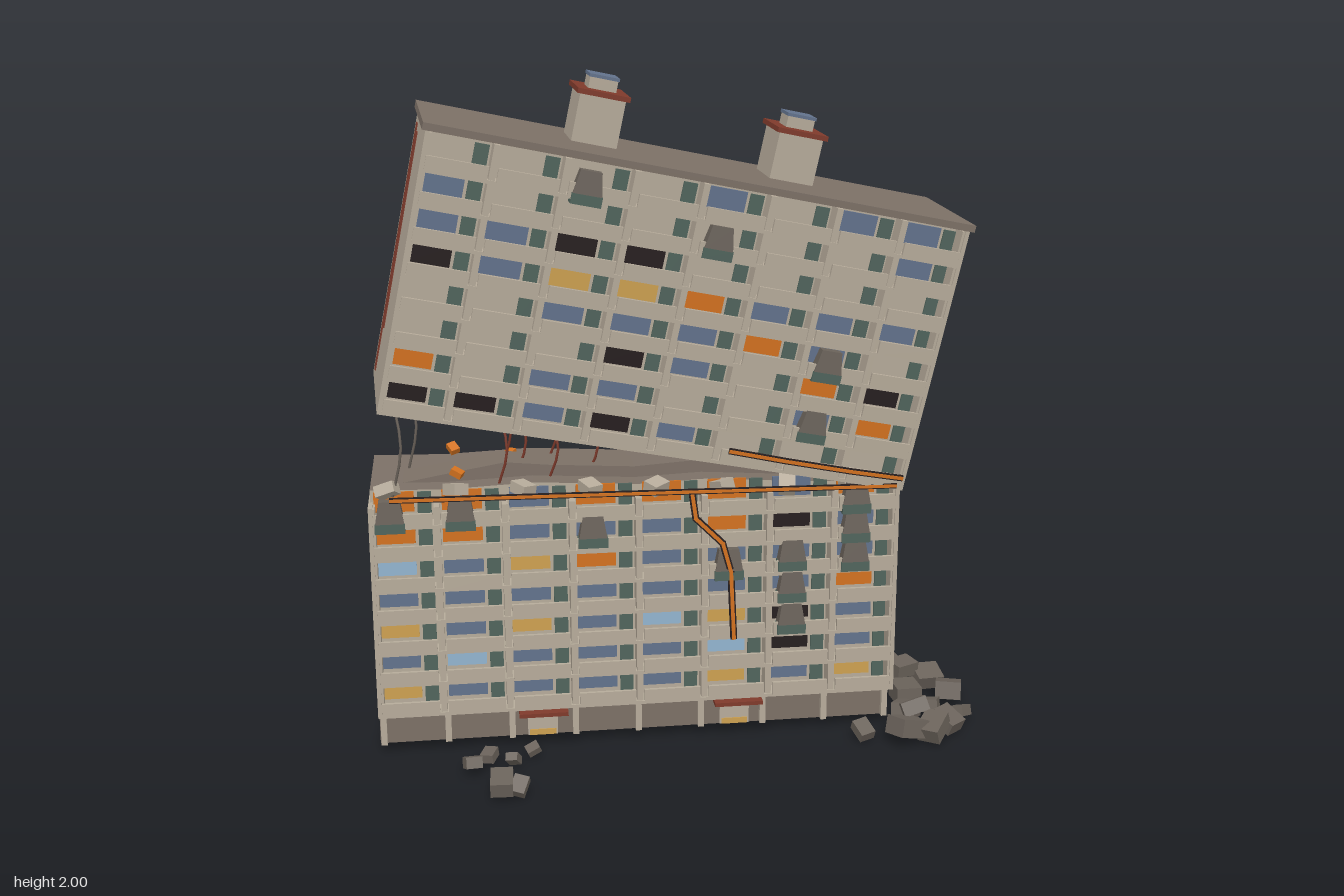
import * as THREE from 'three';

const mat = (name, color) => Object.assign(new THREE.MeshStandardMaterial({ color }), { name });
const M = {
  concrete: mat('concrete', 0xb6ab9a), roof: mat('roofGrey', 0x7c7066), rubble: mat('rubbleGrey', 0x6a625a),
  red: mat('rustRed', 0x7f3a2b), k: mat('burntBlack', 0x261e1f), o: mat('fireOrange', 0xd2711f),
  y: mat('warmYellow', 0xcda050), s: mat('slateGlass', 0x62728c), l: mat('skyGlass', 0x92b4cf), green: mat('dullGreen', 0x50645c),
};
const W = 1.55, D = 0.42, BAY = W / 8, FLOOR = 0.097, WALL = -0.06;

function add(parent, name, geo, material, x = 0, y = 0, z = 0) {
  const m = new THREE.Mesh(geo, material);
  m.name = name;
  m.position.set(x, y, z);
  parent.add(m);
  return m;
}
const box = (p, name, material, w, h, d, x, y, z) => add(p, name, new THREE.BoxGeometry(w, h, d), material, x, y, z);

let seed = 7;
const rnd = () => (seed = (seed * 16807) % 2147483647) / 2147483647;

function chunk(p, x, y, z, s, material = M.rubble) {
  const m = box(p, 'rubbleChunk', material, s, s * 0.55, s * 0.8, x, y, z);
  m.rotation.set(rnd() - 0.5, rnd() * 3, rnd() - 0.5);
}

// Crack: dark strip with a glowing strip laid over it
function crack(p, points, z, w = 0.02) {
  for (let i = 1; i < points.length; i++) {
    const [ax, ay] = points[i - 1], [bx, by] = points[i];
    const len = Math.hypot(bx - ax, by - ay), a = Math.atan2(by - ay, bx - ax);
    [[M.k, w, 0], [M.o, w * 0.55, 0.003]].forEach(([m, t, dz]) => {
      box(p, 'crack', m, len + w * 0.4, t, 0.006, (ax + bx) / 2, (ay + by) / 2, z + dz).rotation.z = a;
    });
  }
}

// Glazed balcony enclosure with tapering hood
function hood(p, x, y) {
  const g = new THREE.CylinderGeometry(0.042, 0.058, 0.065, 4, 1).rotateY(Math.PI / 4).scale(1, 1, 0.5).toNonIndexed();
  g.computeVertexNormals();
  add(p, 'balconyHood', g, M.rubble, x, y + 0.015, -0.012);
  box(p, 'balconyHoodBase', M.green, 0.086, 0.03, 0.04, x, y - 0.032, -0.012);
}

// Facades shared by both halves; rows are listed from the top down
function facades(p, height, front, back, side) {
  const n = front.length;
  for (const s of [-1, 1]) box(p, 'endWall', M.concrete, 0.012, height, D, s * (W / 2 - 0.006), height / 2, -D / 2);
  for (let i = 0; i <= 8; i++) {
    const x = Math.min(Math.max(-W / 2 + i * BAY, -W / 2 + 0.01), W / 2 - 0.01);
    box(p, 'pier', M.concrete, 0.018, height - 0.01, 0.055, x, height / 2, -0.032);
  }
  for (let r = 0; r < n; r++) {
    const y = (n - 1 - r) * FLOOR;
    box(p, 'balconySlab', M.concrete, W, 0.01, 0.06, 0, y + 0.005, -0.03);
    for (let c = 0; c < 8; c++) {
      const x = -W / 2 + (c + 0.5) * BAY, f = M[front[r][c]], b = M[back[r][c]];
      box(p, 'balconyParapet', M.concrete, 0.168, 0.04, 0.01, x, y + 0.026, -0.003);
      if (f) box(p, 'frontWindow', f, 0.115, 0.06, 0.006, x - 0.025, y + 0.067, WALL + 0.003);
      box(p, 'balconyDoor', M.green, 0.04, 0.084, 0.006, x + 0.062, y + 0.053, WALL + 0.003);
      if (b) box(p, 'backWindow', b, 0.095, 0.045, 0.006, -x, y + 0.067, -D - 0.001);
    }
    const w = M[side[r]];
    if (w) box(p, 'sideWindow', w, 0.006, 0.038, 0.05, W / 2 + 0.001, y + 0.067, -0.237);
  }
  // Painted stripes on the left-hand end
  box(p, 'endStripe', M.red, 0.006, height * 0.92, 0.035, -W / 2, height * 0.5, -0.34);
  box(p, 'endStripeThin', M.red, 0.006, height * 0.72, 0.018, -W / 2, height * 0.58, -0.28);
}

function lowerHalf() {
  const g = new THREE.Group();
  g.name = 'lowerHalf';
  g.position.set(-0.145, 0.15, 0.08);
  // Core with a broken upper edge
  const core = new THREE.Shape([[-0.77, 0], [0.77, 0], [0.77, 0.65], [0.5, 0.66], [0.2, 0.68], [0, 0.672],
    [-0.3, 0.69], [-0.55, 0.68], [-0.77, 0.685]].map(([x, y]) => new THREE.Vector2(x, y)));
  add(g, 'core', new THREE.ExtrudeGeometry(core, { depth: D + WALL, bevelEnabled: false }), [M.concrete, M.roof], 0, 0, -D);
  const ridge = new THREE.Shape([[-0.75, 0.67], [0.7, 0.65], [0.45, 0.69], [0.2, 0.718], [0, 0.705],
    [-0.25, 0.72], [-0.38, 0.733], [-0.55, 0.705]].map(([x, y]) => new THREE.Vector2(x, y)));
  add(g, 'brokenRidge', new THREE.ExtrudeGeometry(ridge, { depth: 0.12, bevelEnabled: false }), M.roof, 0, 0, -0.25);
  facades(g, 0.65,
    ['oosoooso', 'oossssks'.replace('ssss', 'ssso'), 'lsyossss', 'ssssssso', 'ysyslyks', 'slssslks', 'yssssysy'],
    ['sossosoo', 'kosskoso', 'sslyssko', 'ssllsslo', 'sslsksso', 'sslsyslo', 'kslsskly'], 'sksssly'.replace('ssss', 'sss'));
  for (const [x, y] of [[-0.715, 0.62], [-0.515, 0.62], [-0.135, 0.55], [0.265, 0.43], [0.455, 0.45], [0.455, 0.35],
    [0.455, 0.25], [0.645, 0.62], [0.645, 0.53], [0.645, 0.44]]) hood(g, x, y);
  for (let i = 0; i < 8; i++) chunk(g, -0.72 + i * BAY, 0.69 - i * 0.005, -0.04, 0.06, M.concrete);
  for (const [x, z] of [[-0.53, -0.38], [-0.52, -0.12], [-0.36, -0.3]]) chunk(g, x, 0.71, z, 0.035, M.o);
  crack(g, [[-0.71, 0.672], [-0.3, 0.668], [0.2, 0.662], [0.76, 0.655]], 0.004, 0.016);
  crack(g, [[0.155, 0.65], [0.165, 0.58], [0.245, 0.5], [0.27, 0.41], [0.275, 0.3], [0.28, 0.2]], 0.005);
  const side = new THREE.Group();
  side.name = 'sideCrack';
  side.rotation.y = Math.PI / 2;
  side.position.x = W / 2;
  crack(side, [[0.21, 0.64], [0.225, 0.56], [0.25, 0.46], [0.29, 0.42], [0.33, 0.345], [0.285, 0.28]], 0.003);
  g.add(side);
  return g;
}

function upperHalf() {
  const g = new THREE.Group();
  g.name = 'upperHalf';
  // Leaning frame
  const ux = new THREE.Vector3(0.977, -0.204, -0.064).normalize();
  const uz = ux.clone().cross(new THREE.Vector3(0.2, 0.979, 0.037)).normalize();
  const uy = uz.clone().cross(ux);
  g.quaternion.setFromRotationMatrix(new THREE.Matrix4().makeBasis(ux, uy, uz));
  g.position.set(-0.12, 0.945, 0.13);
  const c = M.concrete;
  box(g, 'core', [c, c, M.roof, M.roof, c, c], W - 0.02, 0.79, D + WALL, 0, 0.395, (WALL - D) / 2);
  facades(g, 0.79,
    ['....s.ss', 's......s', 'sskk....', 'ksyyosss', '..sssos.', '...ks.ok', 'o.ss..so', 'kksks...'],
    ['.sss..kl', 'lo...ss.', '.kkks.s.', 's..sk.s.', '..o..ss.', 'o..osss.', '......ss', 'k...kos.'], '..oyo.oo'.replace('oyo', '.oy'));
  for (const [x, y] of [[-0.322, 0.715], [0.067, 0.631], [0.46, 0.334], [0.458, 0.15]]) hood(g, x, y);
  box(g, 'roofSlab', M.roof, W + 0.02, 0.02, D + 0.02, 0, 0.8, -D / 2);
  crack(g, [[0.23, 0.045], [0.4, 0.04], [0.6, 0.038], [0.76, 0.04]], 0.006, 0.018);
  // Rooftop stair houses
  for (const x of [-0.3, 0.28]) {
    box(g, 'roofHouse', c, 0.13, 0.14, 0.16, x, 0.88, -0.26);
    box(g, 'roofHouseCap', M.red, 0.15, 0.014, 0.185, x, 0.95, -0.26);
    box(g, 'roofVent', c, 0.08, 0.036, 0.08, x, 0.972, -0.26);
    box(g, 'roofVentLid', M.s, 0.086, 0.009, 0.086, x, 0.993, -0.26);
  }
  return g;
}

function groundFloor() {
  const g = new THREE.Group();
  g.name = 'groundFloor';
  const cx = -0.145, y = 0.095, h = 0.112;
  // Open-bottomed walls, front set back beneath the balconies
  for (const z of [0.005, -0.335]) box(g, 'groundWall', M.roof, W, h, 0.01, cx, y, z);
  for (const s of [-1, 1]) box(g, 'groundEndWall', M.roof, 0.01, h, 0.34, cx + s * (W / 2 - 0.005), y, -0.165);
  for (let i = 0; i <= 8; i++) box(g, 'column', M.concrete, 0.018, h, 0.018, cx + (i / 4 - 1) * (W / 2 - 0.012), y, 0.018);
  // Two entrances
  for (const x of [-0.435, 0.15]) {
    box(g, 'entranceDoor', M.concrete, 0.09, 0.09, 0.008, x, 0.085, 0.013);
    box(g, 'entranceLight', M.y, 0.08, 0.018, 0.008, x, 0.05, 0.016);
    box(g, 'entranceCanopy', M.red, 0.145, 0.012, 0.095, x, 0.143, 0.057);
  }
  return g;
}

export function createModel() {
  const root = new THREE.Group();
  root.name = 'brokenApartmentBlock';
  root.add(lowerHalf(), upperHalf(), groundFloor());

  // Bent reinforcing bars across the gap
  for (const [x, z, m] of [[-0.84, 0.04, M.rubble], [-0.8, -0.2, M.rubble], [-0.54, 0, M.red], [-0.52, -0.22, M.red],
    [-0.48, -0.12, M.red], [-0.39, -0.05, M.red], [-0.38, -0.25, M.red], [-0.27, -0.1, M.red]]) {
    const top = 0.97 - 0.21 * (x + 0.12), mid = (top + 0.82) / 2;
    const path = new THREE.CatmullRomCurve3([[x - 0.01, 0.82, z], [x + 0.02, mid, z + 0.02], [x, top, z]].map((p) => new THREE.Vector3(...p)));
    add(root, 'reinforcingBar', new THREE.TubeGeometry(path, 6, 0.004, 5), m);
  }

  // Fallen rubble
  for (const [x, z, s] of [[0.66, 0.15, 0.1], [0.74, 0.15, 0.09], [0.8, 0.1, 0.08], [0.86, 0.03, 0.06], [0.86, -0.1, 0.1],
    [0.82, -0.22, 0.09], [0.73, -0.34, 0.08], [0.7, -0.25, 0.1], [0.69, 0.02, 0.09], [0.72, -0.1, 0.1], [0.77, -0.02, 0.07],
    [0.53, 0.12, 0.06], [-0.57, 0.33, 0.08], [-0.52, 0.34, 0.055], [-0.65, 0.18, 0.06], [-0.6, 0.13, 0.05], [-0.47, 0.1, 0.04],
    [-0.53, 0.16, 0.045]]) chunk(root, x, 0.02 + s * 0.38, z, s);
  chunk(root, 0.7, 0.09, 0.08, 0.08);
  chunk(root, 0.74, 0.09, -0.22, 0.08);
  return root;
}
